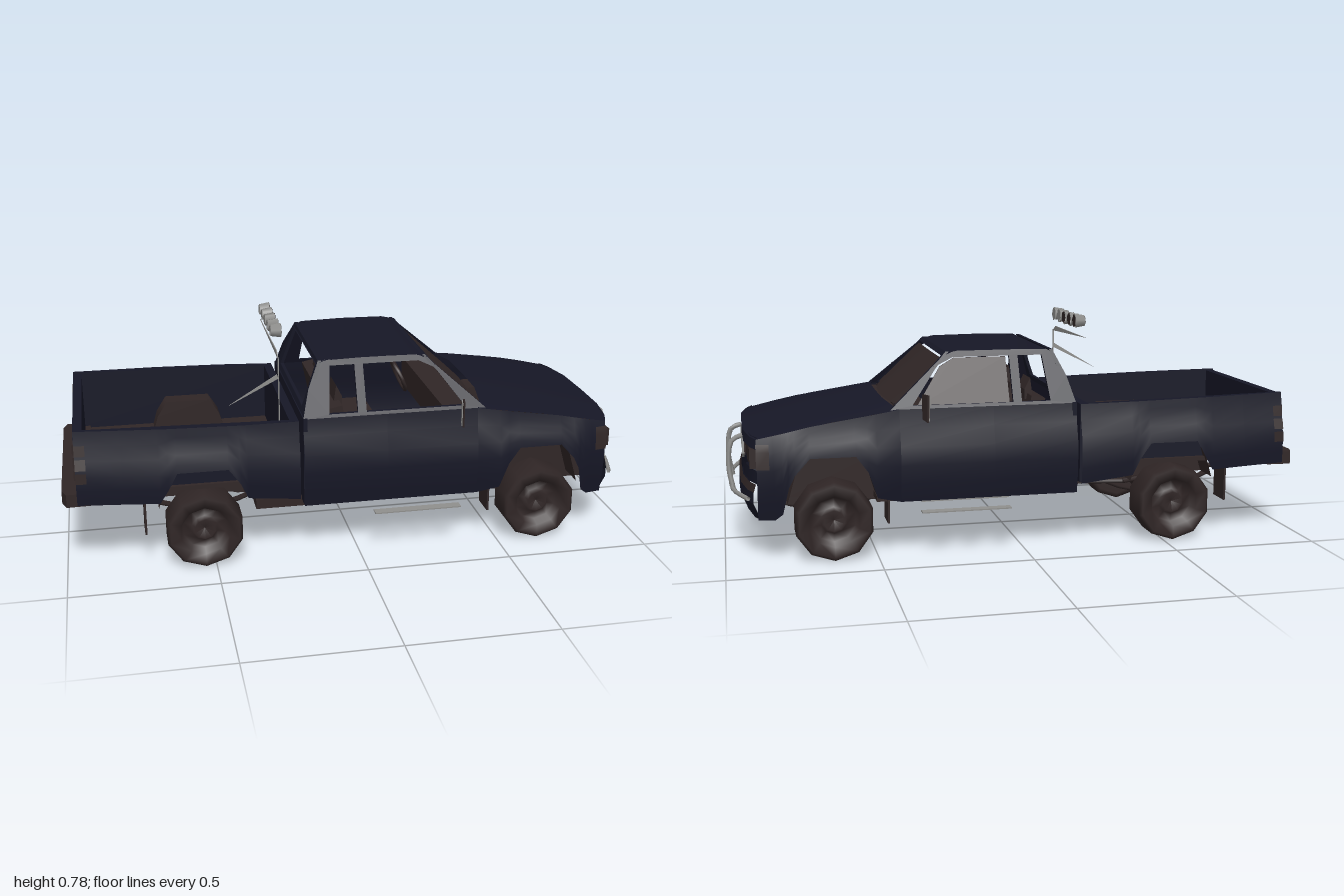
import * as THREE from 'three';

const mat = (name, color) => {
  const m = new THREE.MeshStandardMaterial({ color, side: THREE.DoubleSide });
  m.name = name;
  return m;
};

// piecewise linear lookup in a list of [position, value]
function at(table, t) {
  if (t <= table[0][0]) return table[0][1];
  for (let i = 1; i < table.length; i++) {
    const [a, va] = table[i - 1], [b, vb] = table[i];
    if (t <= b) return va + (vb - va) * (t - a) / (b - a);
  }
  return table[table.length - 1][1];
}

// surface through rows of points f(u, v), u and v taken from lists
function grid(us, vs, f) {
  const pos = [], index = [], n = vs.length;
  us.forEach((u, i) => vs.forEach((v, j) => {
    pos.push(...f(u, v));
    if (i && j) {
      const d = i * n + j, c = d - 1, b = d - n, a = b - 1;
      index.push(a, c, b, b, c, d);
    }
  }));
  const g = new THREE.BufferGeometry();
  g.setAttribute('position', new THREE.Float32BufferAttribute(pos, 3));
  g.setIndex(index);
  g.computeVertexNormals();
  return g;
}

const shape = (pts, ...holes) => {
  const s = new THREE.Shape(pts.map(p => new THREE.Vector2(...p)));
  s.holes = holes.map(h => new THREE.Path(h.map(p => new THREE.Vector2(...p))));
  return s;
};

// thin extruded sheet whose vertices are moved by a rule
function sheet(s, depth, rule) {
  const g = new THREE.ExtrudeGeometry(s, { depth, bevelEnabled: false });
  const p = g.attributes.position;
  for (let i = 0; i < p.count; i++) p.setXYZ(i, ...rule(p.getX(i), p.getY(i), p.getZ(i)));
  g.computeVertexNormals();
  return g;
}

const box = (x0, x1, y0, y1, z0, z1) =>
  new THREE.BoxGeometry(x1 - x0, y1 - y0, z1 - z0).translate((x0 + x1) / 2, (y0 + y1) / 2, (z0 + z1) / 2);

function rod(a, b, r, sides = 6) {
  const A = new THREE.Vector3(...a), B = new THREE.Vector3(...b), d = B.clone().sub(A);
  const g = new THREE.CylinderGeometry(r, r, d.length(), sides);
  g.applyQuaternion(new THREE.Quaternion().setFromUnitVectors(new THREE.Vector3(0, 1, 0), d.normalize()));
  return g.translate(...A.add(B).multiplyScalar(0.5).toArray());
}

const tube = (pts, r) => new THREE.TubeGeometry(
  new THREE.CatmullRomCurve3(pts.map(p => new THREE.Vector3(...p))), 10, r, 5);

// body half width from height and length
const section = [[0.14, 0.345], [0.2, 0.357], [0.27, 0.367], [0.36, 0.365], [0.43, 0.344], [0.5, 0.335]];
const taper = [[-0.95, 0.95], [-0.65, 1], [-0.4, 1], [-0.2, 0.965], [0.4, 0.965], [0.5, 1], [0.8, 1], [0.89, 0.95]];
const width = (x, y) => at(section, y) * at(taper, x);
const glassZ = y => 0.323 - (y - 0.49) * 0.46;

export function createModel() {
  const navy = mat('navyPaint', 0x161726), brown = mat('darkBrown', 0x302626), grey = mat('chromeGrey', 0x8f8f8d);
  const truck = new THREE.Group();
  truck.name = 'pickupTruck';
  const add = (name, g, m) => {
    const mesh = new THREE.Mesh(g, m);
    mesh.name = name;
    truck.add(mesh);
    return mesh;
  };
  const both = (name, g, m) => {
    add(name + 'Left', g, m);
    add(name + 'Right', g, m).scale.z = -1;
  };
  const rows = [0, 0.2, 0.4, 0.6, 0.8, 1];
  const side = (bottom, top) => grid(bottom.map(b => b[0]), rows, (x, v) => {
    const y = at(bottom, x) * (1 - v) + at(top, x) * v;
    return [x, y, width(x, y)];
  });

  // outer body sides
  const bedTop = [[-0.95, 0.5], [-0.205, 0.485]], hoodTop = [[0.42, 0.49], [0.7, 0.45], [0.89, 0.41]];
  both('bedSide', side([[-0.95, 0.25], [-0.8, 0.245], [-0.68, 0.24], [-0.65, 0.29], [-0.62, 0.345],
    [-0.45, 0.345], [-0.41, 0.29], [-0.385, 0.235], [-0.205, 0.21]], bedTop), navy);
  both('door', side([[-0.19, 0.18], [0.1, 0.18], [0.42, 0.18]], [[-0.19, 0.49], [0.42, 0.49]]), navy);
  both('frontFender', side([[0.42, 0.18], [0.5, 0.2], [0.53, 0.29], [0.57, 0.345], [0.72, 0.345],
    [0.77, 0.29], [0.79, 0.25], [0.81, 0.16], [0.835, 0.14], [0.89, 0.14]], hoodTop), navy);

  // cargo bed
  both('bedRail', grid([-0.95, -0.65, -0.4, -0.205], [0, 1],
    (x, v) => [x, at(bedTop, x), v ? 0.305 : width(x, 0.5)]), navy);
  both('bedInnerWall', grid([-0.95, -0.205], [0, 1], (x, v) => [x, v ? 0.28 : at(bedTop, x), 0.305]), navy);
  add('bedFloor', box(-0.94, -0.21, 0.265, 0.28, -0.32, 0.32), brown);
  add('bedFloorPanel', box(-0.75, -0.27, 0.28, 0.287, -0.17, 0.17), brown);
  add('bedFrontWall', box(-0.235, -0.205, 0.21, 0.485, -0.322, 0.322), navy);
  add('tailgate', box(-0.95, -0.92, 0.25, 0.495, -0.318, 0.318), navy);
  add('tailgateRecess', box(-0.954, -0.95, 0.33, 0.45, -0.24, 0.24), navy);
  for (const y of [0.345, 0.39, 0.435]) {
    both('tailLight', box(-0.956, -0.95, y - 0.018, y + 0.018, 0.27, 0.315), brown);
    both('tailLightSide', grid([-0.95, -0.915], [y - 0.018, y + 0.018], (x, h) => [x, h, width(x, h) + 0.004]), brown);
  }
  add('rearBumper', sheet(shape([[-0.9, -0.335], [-0.985, -0.338], [-1, -0.3], [-1, 0.3], [-0.985, 0.338], [-0.9, 0.335]]),
    0.045, (x, z, h) => [x, 0.242 + h, z]), brown);
  both('rearBumperBracket', rod([-0.96, 0.22, 0.2], [-0.84, 0.235, 0.16], 0.005, 4), grey);

  // wheel housings, solid-looking in the bed with a sloped inner face
  const arch = [[-0.15, 0.21], [-0.115, 0.33], [-0.08, 0.385], [0.08, 0.385], [0.115, 0.33], [0.15, 0.21]];
  for (const cx of [-0.535, 0.645]) {
    const z0 = 0.235, lift = cx > 0 ? -0.02 : 0;
    both('wheelHousing', grid(arch, [z0, 0.337], (p, z) => [cx + p[0], p[1] + lift, z]), brown);
    both('wheelHousingWall', new THREE.ShapeGeometry(shape(arch)).translate(cx, lift, z0), brown);
  }

  // cab: window frames, open rear, quarter and left door windows, glass
  const door = [[0.03, 0.5], [0.03, 0.65], [0.225, 0.65], [0.28, 0.625], [0.375, 0.5]];
  both('cabSideFrame', sheet(shape(
    [[-0.19, 0.488], [-0.165, 0.58], [-0.13, 0.655], [-0.1, 0.67], [0.22, 0.67], [0.265, 0.65], [0.45, 0.488]],
    [[-0.1, 0.5], [-0.085, 0.65], [0, 0.65], [0, 0.5]], door), 0.014, (x, y, z) => [x, y, glassZ(y) - z]), navy);
  add('doorGlassRight', sheet(shape([[0.042, 0.495], [0.042, 0.647], [0.222, 0.647], [0.272, 0.62], [0.36, 0.495]]),
    0.004, (x, y, z) => [x, y, 0.006 + z - glassZ(y)]), brown);
  const frame = [[-0.322, 0.488], [0.322, 0.488], [0.242, 0.668], [-0.242, 0.668]];
  add('rearWindowFrame', sheet(shape(frame, [[-0.24, 0.51], [0.24, 0.51], [0.225, 0.656], [-0.225, 0.656]]), 0.012,
    (z, y, d) => [-0.188 + (y - 0.488) * 0.35 + d, y, z]), navy);
  const shieldX = (z, y) => 0.462 - (y - 0.488) * 1.18 - 0.4 * z * z * (0.67 - y) / 0.18;
  add('windshieldFrame', sheet(shape(frame, [[-0.285, 0.5], [0.285, 0.5], [0.236, 0.655], [-0.236, 0.655]]), 0.012,
    (z, y, d) => [shieldX(z, y) - d, y, z]), navy);
  add('windshield', grid([-0.286, -0.14, 0, 0.14, 0.286], [0.495, 0.647],
    (z, y) => { const s = z * (y > 0.6 ? 0.84 : 1); return [shieldX(s, y) - 0.008, y, s]; }), brown);
  const roof = [[-0.132, 0.655], [-0.1, 0.669], [0.05, 0.673], [0.21, 0.671], [0.26, 0.66]];
  add('roof', grid(roof, [-0.247, 0.247], (p, z) => [p[0], p[1], z]), navy);
  add('cabBackWall', box(-0.19, -0.176, 0.18, 0.492, -0.33, 0.33), navy);
  add('cabFloor', box(-0.18, 0.5, 0.18, 0.2, -0.325, 0.325), brown);
  add('bodyMount', box(-0.24, -0.16, 0.175, 0.2, -0.2, 0.2), brown);

  // cab interior
  add('dashboard', box(0.31, 0.42, 0.38, 0.485, -0.31, 0.31), brown);
  add('firewall', box(0.42, 0.44, 0.2, 0.48, -0.32, 0.32), brown);
  both('seatCushion', box(-0.08, 0.15, 0.22, 0.34, 0.04, 0.28), brown);
  both('seatBack', box(-0.025, 0.025, 0, 0.2, 0.04, 0.27).rotateZ(0.2).translate(-0.03, 0.31, 0), brown);
  both('headRest', sheet(shape([[-0.065, 0.49], [-0.035, 0.49], [-0.035, 0.525], [-0.055, 0.565]]), 0.1,
    (x, y, d) => [x, y, 0.11 + d]), brown);
  add('steeringWheel', new THREE.TorusGeometry(0.06, 0.008, 5, 10).rotateY(Math.PI / 2).rotateZ(0.4)
    .translate(0.26, 0.46, -0.16), brown);

  // hood and nose
  const spread = [-1, -0.85, -0.5, 0, 0.5, 0.85, 1];
  const bow = s => 0.04 * (1 - s ** 4);
  add('hood', grid([0, 0.1, 0.5, 0.9, 1], spread, (u, s) => {
    const x = 0.42 + 0.47 * u, y = at(hoodTop, x);
    return [x + bow(s) * (u > 0.8 ? u : 1), y + 0.018 * (1 - s ** 4) * (1 - u * 0.7), s * width(x, y)];
  }), navy);
  const band = (name, y0, y1, o0, o1, m) => add(name, grid([0, 1], spread, (v, s) => {
    const y = y0 + (y1 - y0) * v;
    return [0.89 + bow(s) + o0 + (o1 - o0) * v, y, s * width(0.89, y)];
  }), m);
  band('hoodLip', 0.378, 0.416, 0, -0.006, navy);
  band('grille', 0.31, 0.378, -0.012, -0.006, brown);
  band('lowerGrillePanel', 0.265, 0.31, 0, 0, navy);
  band('bumperStrip', 0.238, 0.265, 0.012, 0.004, brown);
  band('bumperTop', 0.2, 0.238, 0.014, 0.012, navy);
  band('frontBumper', 0.14, 0.2, -0.01, 0.014, navy);
  add('radiator', box(0.745, 0.87, 0.165, 0.38, -0.234, 0.234), brown);
  both('headlight', box(0.885, 0.912, 0.313, 0.376, 0.2, 0.325), brown);
  both('cornerLight', grid([0.85, 0.892], [0.313, 0.37, 0.395], (x, y) => [x, y, width(x, y) + 0.004]), brown);
  add('frontPlate', box(0.925, 0.932, 0.325, 0.36, -0.022, 0.022), grey);
  both('grilleLamp', box(0.92, 0.93, 0.31, 0.345, 0.035, 0.085), brown);

  // chrome push bar
  both('pushBarUpright', tube([[0.93, 0.385, 0.105], [0.965, 0.37, 0.11], [0.978, 0.28, 0.115], [0.965, 0.2, 0.125]], 0.009), grey);
  both('pushBarPlate', sheet(shape([[0.115, 0.312], [0.14, 0.315], [0.155, 0.33], [0.15, 0.378], [0.105, 0.378]]), 0.007,
    (z, y, d) => [0.925 + d, y, z]), grey);
  add('pushBarRail', tube([[0.92, 0.215, -0.33], [0.965, 0.211, -0.17], [0.972, 0.21, 0], [0.965, 0.211, 0.17],
    [0.92, 0.215, 0.33]], 0.008), grey);

  // wheels with dished hubs
  const tyre = [[0, 0.02], [0.035, 0.035], [0.045, 0.02], [0.075, 0.015], [0.085, 0.05], [0.122, 0.056],
    [0.133, 0.045], [0.133, -0.055], [0.115, -0.06], [0, -0.055]].map(p => new THREE.Vector2(...p));
  const wheel = new THREE.LatheGeometry(tyre, 10).rotateX(Math.PI / 2);
  for (const [n, x] of [['rear', -0.535], ['front', 0.645]]) {
    both(n + 'Wheel', wheel.clone().translate(x, 0.13, 0.32), brown);
    add(n + 'Axle', rod([x, 0.152, -0.28], [x, 0.152, 0.28], 0.013), brown);
    add(n + 'Differential', new THREE.SphereGeometry(0.045, 8, 6).scale(1, 1, 2.1).translate(x, 0.147, 0), brown);
    both(n + 'LeafSpring', new THREE.TubeGeometry(new THREE.QuadraticBezierCurve3(
      new THREE.Vector3(x - 0.2, 0.19, 0.17), new THREE.Vector3(x, 0.08, 0.17),
      new THREE.Vector3(x + 0.2, 0.18, 0.17)), 6, 0.01, 4), brown);
  }
  both('rearMudFlap', box(-0.735, -0.728, 0.125, 0.25, 0.26, 0.35), brown);
  both('frontMudFlap', box(0.46, 0.467, 0.11, 0.2, 0.26, 0.35), brown);

  // chassis, kicked up over the rear axle
  both('frameRail', sheet(shape([[-0.93, 0.24], [-0.68, 0.24], [-0.4, 0.168], [0.88, 0.168], [0.88, 0.2], [-0.38, 0.2],
    [-0.66, 0.268], [-0.93, 0.268]]), 0.03, (x, y, d) => [x, y, 0.125 + d]), brown);
  for (const x of [-0.9, -0.7, -0.38, -0.16, 0.12, 0.42, 0.8]) {
    const y = x < -0.6 ? 0.24 : 0.168;
    add('crossMember', box(x, x + 0.03, y, y + 0.028, -0.14, 0.14), brown);
  }
  add('engineTray', box(0.46, 0.88, 0.17, 0.2, -0.23, 0.23), brown);
  add('transmission', box(0.18, 0.5, 0.125, 0.18, -0.06, 0.06), brown);
  add('driveShaft', rod([-0.52, 0.145, 0.03], [0.2, 0.155, 0], 0.014), brown);
  add('fuelTank', box(-0.35, 0, 0.155, 0.19, 0.16, 0.28), brown);
  add('muffler', rod([-0.1, 0.162, -0.09], [0.22, 0.162, -0.09], 0.025, 8), grey);
  add('exhaustPipe', rod([0.2, 0.165, -0.09], [0.5, 0.165, -0.15], 0.009), brown);
  add('middlePipe', rod([-0.4, 0.18, -0.21], [-0.08, 0.165, -0.09], 0.009), brown);
  add('tailPipe', rod([-0.9, 0.245, -0.21], [-0.4, 0.18, -0.21], 0.009), brown);
  add('heatShield', box(0.05, 0.35, 0.174, 0.179, -0.335, -0.27), grey);
  both('sideStep', box(0.05, 0.355, 0.146, 0.15, 0.35, 0.383), grey);

  // door mirrors
  both('mirror', sheet(shape([[0.385, 0.465], [0.425, 0.46], [0.43, 0.55], [0.385, 0.548]]), 0.006,
    (z, y, d) => [0.347 - (z - 0.385) * 0.25 + d, y, z]), brown);
  both('mirrorGlass', sheet(shape([[0.388, 0.468], [0.422, 0.464], [0.427, 0.546], [0.388, 0.545]]), 0.003,
    (z, y, d) => [0.343 - (z - 0.385) * 0.25 + d, y, z]), grey);

  // light bar above the bed
  for (let i = -2; i <= 2; i++) {
    const z = i * 0.068;
    const face = (r, turn, x) => new THREE.CircleGeometry(r, 5).rotateY(turn).rotateX(i).translate(x, 0.752, z);
    add('barLamp', new THREE.CylinderGeometry(0.026, 0.02, 0.035, 5, 1, true).rotateZ(-Math.PI / 2)
      .rotateX(i + Math.PI / 2).translate(-0.252, 0.752, z), grey);
    add('barLampLens', face(0.025, Math.PI / 2, -0.233), i > 0 ? grey : brown);
    add('barLampBack', face(0.02, -Math.PI / 2, -0.271), grey);
  }
  add('barCrossPiece', sheet(shape([[0.24, 0.68], [0.2, 0.7], [-0.2, 0.698]]), 0.003, (z, y, d) => [-0.26 + d, y, z]), grey);
  add('barPost', sheet(shape([[0.235, 0.29], [0.25, 0.29], [0.24, 0.685], [0.23, 0.685]]), 0.003,
    (z, y, d) => [-0.26 + d, y, z]), grey);
  add('barBrace', sheet(shape([[-0.43, 0.53], [-0.26, 0.615], [-0.265, 0.63]]), 0.004, (x, y, d) => [x, y, 0.245 + d]), grey);
  return truck;
}
